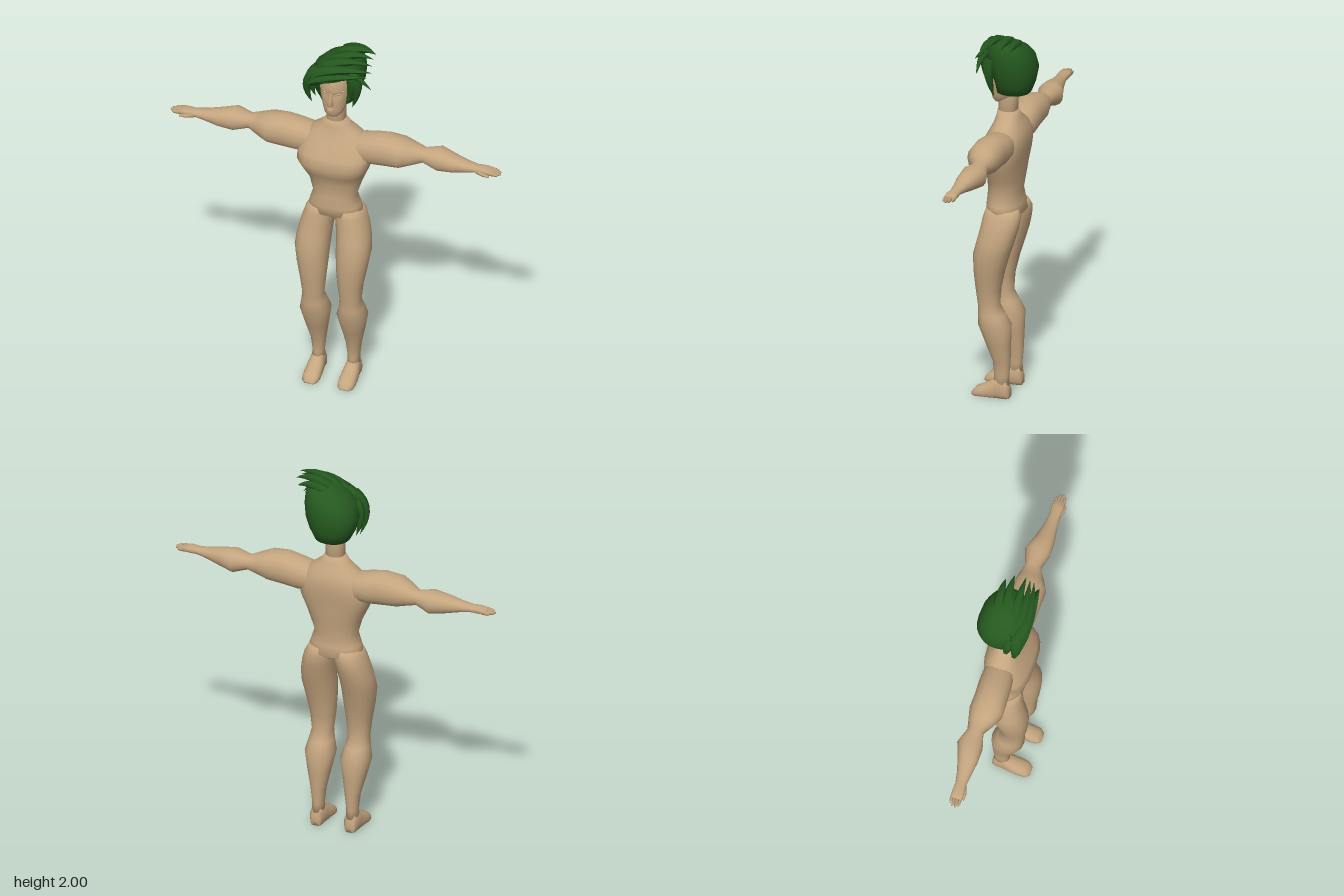
import * as THREE from 'three';

const skin = new THREE.MeshStandardMaterial({ color: 0xc4a57f, side: THREE.DoubleSide });
skin.name = 'skin';
const green = new THREE.MeshStandardMaterial({ color: 0x25591f, side: THREE.DoubleSide });
green.name = 'hairGreen';

// Axis order per loft direction: [along, first, second], all right-handed
const AXES = { y: [1, 0, 2], x: [0, 2, 1], z: [2, 1, 0] };

// Skin over rings [along, firstMin, firstMax, secondMin, secondMax, squareness]
function loft(axis, rings, { sides = 16, capped = true, rule } = {}) {
  const [u, a, b] = AXES[axis];
  const pos = [], index = [];
  const add = (t, p, q) => {
    const v = [0, 0, 0];
    v[u] = t; v[a] = p; v[b] = q;
    if (rule) rule(v);
    pos.push(...v);
  };
  const bend = (c, p) => Math.sign(c) * Math.abs(c) ** p;
  for (const [t, a0, a1, b0, b1, p = 0.9] of rings) {
    for (let i = 0; i < sides; i++) {
      const w = (i / sides) * Math.PI * 2;
      add(t, (a0 + a1) / 2 + bend(Math.cos(w), p) * (a1 - a0) / 2,
        (b0 + b1) / 2 + bend(Math.sin(w), p) * (b1 - b0) / 2);
    }
  }
  for (let r = 0; r < rings.length - 1; r++) {
    for (let i = 0; i < sides; i++) {
      const j = (i + 1) % sides, o = r * sides, n = o + sides;
      index.push(o + i, n + i, o + j, n + i, n + j, o + j);
    }
  }
  if (capped) {
    const last = (rings.length - 1) * sides;
    for (const [r, o] of [[rings[0], 0], [rings.at(-1), last]]) {
      const c = pos.length / 3;
      add(r[0], (r[1] + r[2]) / 2, (r[3] + r[4]) / 2);
      for (let i = 0; i < sides; i++) {
        const j = (i + 1) % sides;
        if (o === 0) index.push(c, o + i, o + j);
        else index.push(c, o + j, o + i);
      }
    }
  }
  const g = new THREE.BufferGeometry();
  g.setAttribute('position', new THREE.Float32BufferAttribute(pos, 3));
  g.setIndex(index);
  g.computeVertexNormals();
  return g;
}

// Copy of a geometry on the other side of the body
function mirror(geo) {
  const g = geo.clone();
  g.scale(-1, 1, 1);
  const k = g.index.array;
  for (let i = 0; i < k.length; i += 3) [k[i], k[i + 1]] = [k[i + 1], k[i]];
  g.computeVertexNormals();
  return g;
}

// Tapering lock of hair along a curve through three control points
function lock(from, mid, to, radius) {
  const curve = new THREE.QuadraticBezierCurve3(...[from, mid, to].map(p => new THREE.Vector3(...p)));
  const g = new THREE.TubeGeometry(curve, 8, radius, 6);
  const p = g.attributes.position, v = new THREE.Vector3();
  for (let i = 0; i < p.count; i++) {
    const t = Math.floor(i / 7) / 8, c = curve.getPointAt(t);
    v.fromBufferAttribute(p, i).sub(c).multiplyScalar(1.02 - t ** 1.6).add(c);
    p.setXYZ(i, v.x, v.y, v.z);
  }
  g.computeVertexNormals();
  return g;
}

export function createModel() {
  const model = new THREE.Group();
  const add = (name, geo, mat = skin) => {
    const m = new THREE.Mesh(geo, mat);
    m.name = name;
    model.add(m);
    return m;
  };
  const pair = (name, geo) => {
    add('left' + name, geo);
    add('right' + name, mirror(geo));
  };

  // Torso from crotch to base of neck
  add('torso', loft('y', [
    [0.985, -0.1, 0.1, -0.06, 0.06],
    [1.01, -0.15, 0.15, -0.093, 0.1],
    [1.06, -0.135, 0.135, -0.08, 0.102],
    [1.12, -0.115, 0.115, -0.073, 0.098],
    [1.2, -0.14, 0.14, -0.085, 0.095],
    [1.26, -0.165, 0.165, -0.09, 0.125, 0.8],
    [1.32, -0.19, 0.19, -0.096, 0.148, 0.7],
    [1.37, -0.195, 0.195, -0.103, 0.132, 0.75],
    [1.42, -0.185, 0.185, -0.105, 0.105, 0.8],
    [1.46, -0.165, 0.165, -0.097, 0.085],
    [1.495, -0.125, 0.125, -0.082, 0.068],
    [1.53, -0.078, 0.078, -0.065, 0.057],
    [1.565, -0.052, 0.052, -0.052, 0.052]], { sides: 20 }));
  add('neck', loft('y', [
    [1.55, -0.05, 0.05, -0.05, 0.05],
    [1.7, -0.049, 0.049, -0.055, 0.045]]));

  // Arms
  pair('Arm', loft('x', [
    [0.08, -0.07, 0.06, 1.36, 1.47],
    [0.14, -0.085, 0.075, 1.335, 1.49],
    [0.2, -0.088, 0.082, 1.332, 1.503],
    [0.27, -0.085, 0.085, 1.338, 1.515],
    [0.355, -0.088, 0.088, 1.347, 1.506],
    [0.41, -0.075, 0.06, 1.365, 1.485],
    [0.47, -0.062, 0.024, 1.384, 1.46],
    [0.55, -0.09, 0.046, 1.356, 1.479],
    [0.63, -0.062, 0.044, 1.368, 1.462],
    [0.7, -0.042, 0.034, 1.385, 1.445],
    [0.76, -0.03, 0.028, 1.397, 1.435],
    [0.81, -0.032, 0.032, 1.4, 1.435, 0.7],
    [0.845, -0.031, 0.031, 1.402, 1.428, 0.7]]));

  // Fingers and thumb
  [0.878, 0.89, 0.886, 0.87].forEach((tip, i) => {
    const z = 0.023 - i * 0.0155;
    pair('Finger' + (i + 1), loft('x', [
      [0.83, z - 0.008, z + 0.008, 1.403, 1.427],
      [tip - 0.012, z - 0.007, z + 0.007, 1.403, 1.423],
      [tip, z - 0.004, z + 0.004, 1.407, 1.418]], { sides: 6 }));
  });
  pair('Thumb', loft('x', [
    [0.76, 0.01, 0.028, 1.398, 1.42],
    [0.8, 0.022, 0.042, 1.396, 1.416],
    [0.835, 0.031, 0.041, 1.398, 1.41]], { sides: 6 }));

  // Legs
  pair('Leg', loft('y', [
    [0.07, 0.062, 0.128, -0.042, 0.045],
    [0.12, 0.065, 0.125, -0.04, 0.038],
    [0.2, 0.056, 0.134, -0.046, 0.045],
    [0.3, 0.038, 0.158, -0.048, 0.082],
    [0.4, 0.02, 0.178, -0.05, 0.12],
    [0.46, 0.036, 0.165, -0.018, 0.121],
    [0.51, 0.045, 0.156, 0.01, 0.122],
    [0.6, 0.035, 0.166, 0.004, 0.134],
    [0.7, 0.026, 0.185, -0.018, 0.142],
    [0.8, 0.021, 0.2, -0.048, 0.142],
    [0.87, 0.017, 0.194, -0.07, 0.125],
    [0.94, 0.009, 0.179, -0.088, 0.11],
    [1.0, 0.001, 0.16, -0.096, 0.101],
    [1.04, 0.004, 0.138, -0.08, 0.09]]));

  // Feet with flat soles
  pair('Foot', loft('z', [
    [-0.044, -0.01, 0.06, 0.07, 0.12],
    [-0.03, -0.02, 0.105, 0.06, 0.13],
    [0.02, -0.02, 0.115, 0.056, 0.134],
    [0.05, -0.02, 0.088, 0.052, 0.138],
    [0.1, -0.02, 0.058, 0.049, 0.141],
    [0.135, -0.02, 0.042, 0.053, 0.138],
    [0.156, -0.01, 0.015, 0.07, 0.12]],
  { rule: v => { v[1] = Math.max(0, v[1]); } }));

  // Head, with eye sockets pressed in
  add('head', loft('y', [
    [1.607, -0.03, 0.03, 0.015, 0.07],
    [1.625, -0.047, 0.047, -0.015, 0.082],
    [1.65, -0.058, 0.058, -0.045, 0.086],
    [1.68, -0.067, 0.067, -0.075, 0.088],
    [1.71, -0.074, 0.074, -0.095, 0.09],
    [1.735, -0.079, 0.079, -0.105, 0.091],
    [1.752, -0.081, 0.081, -0.11, 0.091],
    [1.768, -0.083, 0.083, -0.113, 0.093],
    [1.785, -0.084, 0.084, -0.116, 0.093],
    [1.83, -0.084, 0.084, -0.118, 0.088],
    [1.88, -0.07, 0.07, -0.1, 0.065],
    [1.92, -0.035, 0.035, -0.06, 0.03]], {
    sides: 32,
    rule: v => {
      if (v[2] < 0.02) return;
      const d = ((Math.abs(v[0]) - 0.035) / 0.02) ** 2 + ((v[1] - 1.75) / 0.014) ** 2;
      v[2] -= 0.014 * Math.exp(-d);
    } }));

  // Nose, brows, eyelids and lips
  add('nose', loft('y', [
    [1.682, -0.013, 0.013, 0.07, 0.098],
    [1.692, -0.016, 0.016, 0.07, 0.115],
    [1.715, -0.011, 0.011, 0.07, 0.107],
    [1.765, -0.008, 0.008, 0.07, 0.096]], { sides: 8 }));
  pair('Brow', loft('x', [
    [0.01, 0.07, 0.096, 1.764, 1.773],
    [0.04, 0.06, 0.087, 1.768, 1.779],
    [0.065, 0.04, 0.066, 1.768, 1.774]], { sides: 8 }));
  pair('Eye', new THREE.SphereGeometry(0.012, 10, 6).scale(1.2, 0.55, 0.6).translate(0.035, 1.75, 0.07));
  for (const [name, y] of [['upperLip', 1.663], ['lowerLip', 1.653]]) {
    add(name, new THREE.SphereGeometry(0.022, 10, 6).scale(1, 0.22, 0.4).translate(0, y, 0.085));
  }

  // Hair shell, lifted off the face at the front
  add('hair', loft('y', [
    [1.675, -0.09, 0.09, -0.122, 0.06],
    [1.73, -0.118, 0.118, -0.142, 0.08],
    [1.8, -0.135, 0.14, -0.156, 0.098],
    [1.87, -0.115, 0.15, -0.145, 0.102],
    [1.92, -0.065, 0.148, -0.122, 0.09],
    [1.955, -0.01, 0.14, -0.085, 0.065],
    [1.978, 0.04, 0.12, -0.04, 0.03]], {
    sides: 24,
    rule: v => { if (v[2] > 0.042) v[1] = Math.max(v[1], 1.845 + v[0] * 0.3); } }), green);
  const crown = new THREE.CircleGeometry(0.04, 12).rotateX(-Math.PI / 2).scale(1, 1, 0.9);
  add('hairCrown', crown.translate(0.08, 1.978, -0.005), green);

  // Locks: side strands, swept fringe, and tips on top
  [
    [[-0.07, 1.89, 0.07], [-0.165, 1.81, 0.1], [-0.11, 1.67, 0.06], 0.034],
    [[-0.09, 1.86, 0.04], [-0.15, 1.8, 0.04], [-0.105, 1.68, 0.02], 0.03],
    [[0.12, 1.88, 0.06], [0.15, 1.78, 0.06], [0.1, 1.67, 0.04], 0.032],
    [[0.11, 1.88, 0.08], [0.11, 1.81, 0.09], [0.1, 1.72, 0.06], 0.024],
    [[-0.11, 1.81, 0.08], [-0.02, 1.88, 0.12], [0.2, 1.91, 0.105], 0.03],
    [[-0.08, 1.86, 0.08], [0.04, 1.95, 0.12], [0.215, 1.92, 0.07], 0.034],
    [[-0.03, 1.91, 0.06], [0.09, 1.99, 0.08], [0.21, 1.95, 0.05], 0.03],
    [[0, 1.93, 0.03], [0.1, 2.01, 0.03], [0.21, 1.98, 0.03], 0.03],
    [[0.03, 1.95, -0.02], [0.12, 2.01, -0.03], [0.205, 1.97, -0.03], 0.03],
    [[0.03, 1.94, -0.06], [0.11, 1.99, -0.07], [0.18, 1.95, -0.07], 0.03],
    [[0.08, 1.91, 0.08], [0.16, 1.9, 0.1], [0.22, 1.83, 0.09], 0.02],
    [[-0.1, 1.84, 0.08], [-0.06, 1.84, 0.12], [0.06, 1.86, 0.11], 0.024],
  ].forEach((l, i) => add('hairLock' + (i + 1), lock(...l), green));

  return model;
}
